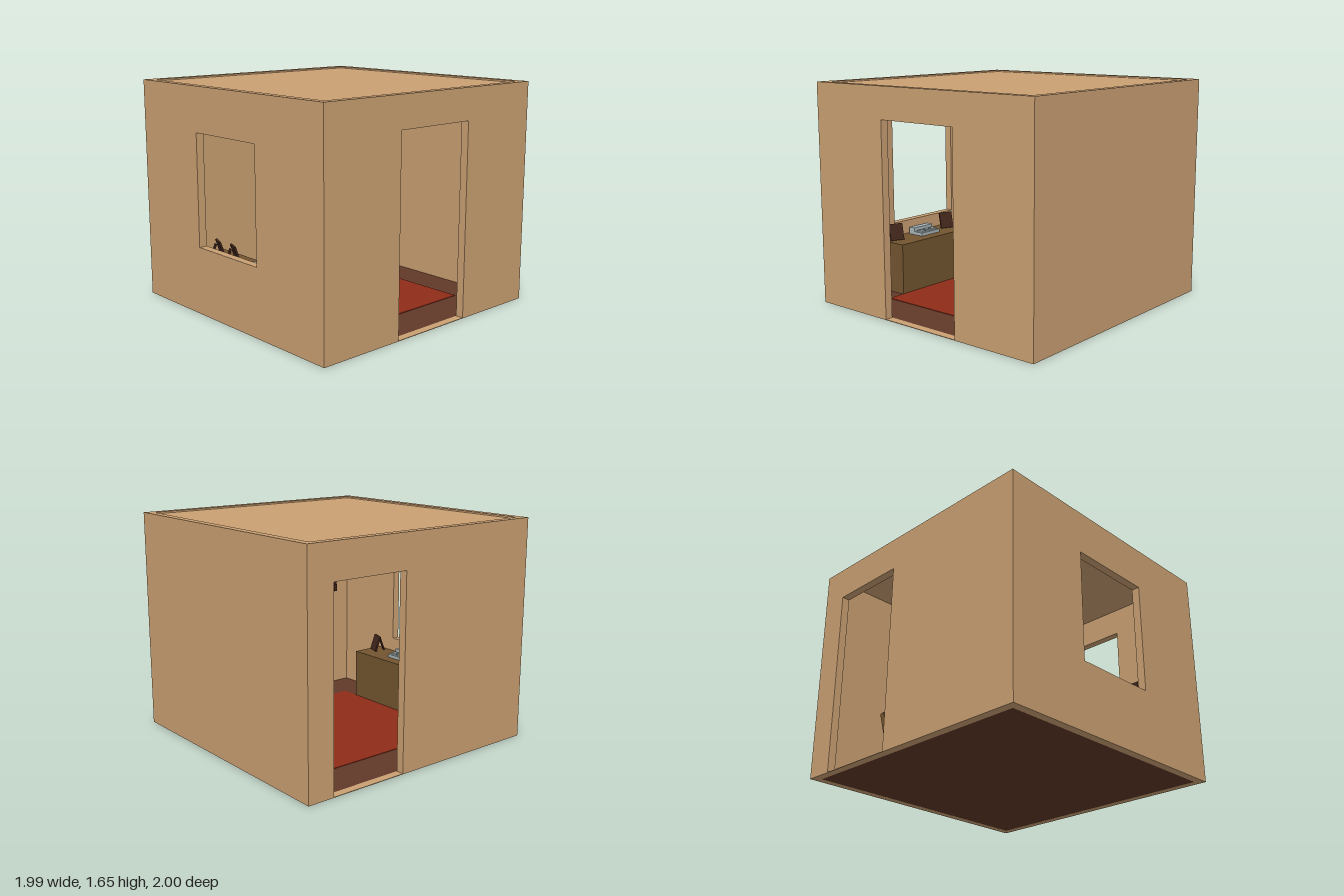
import * as THREE from 'three';

const mat = (color) => new THREE.MeshStandardMaterial({ color, flatShading: true });
const PLASTER = mat(0xcaa072), WOOD = mat(0x735530), FLOOR = mat(0x613828);
const RUG = mat(0x902c18), DARK = mat(0x42261c), GREY = mat(0xa9b6ba);

const H = 1.65, T = 0.06, W = 0.995;

export function createModel() {
  const room = new THREE.Group();
  room.name = 'room';

  function add(parent, name, geometry, material) {
    const mesh = new THREE.Mesh(geometry, material);
    mesh.name = name;
    parent.add(mesh);
    return mesh;
  }
  // Box given by its lower and upper corners
  function box(parent, name, [x0, y0, z0], [x1, y1, z1], material) {
    const mesh = add(parent, name, new THREE.BoxGeometry(x1 - x0, y1 - y0, z1 - z0), material);
    mesh.position.set((x0 + x1) / 2, (y0 + y1) / 2, (z0 + z1) / 2);
    return mesh;
  }
  function group(name, x, y, z) {
    const g = new THREE.Group();
    g.name = name;
    g.position.set(x, y, z);
    room.add(g);
    return g;
  }
  // Wall slab with an optional rectangular opening
  function wall(name, half, opening) {
    const rect = (target, x0, y0, x1, y1) =>
      target.moveTo(x0, y0).lineTo(x1, y0).lineTo(x1, y1).lineTo(x0, y1).closePath();
    const shape = rect(new THREE.Shape(), -half, 0, half, H);
    if (opening) shape.holes.push(rect(new THREE.Path(), ...opening));
    return add(room, name, new THREE.ExtrudeGeometry(shape, { depth: T, bevelEnabled: false }), PLASTER);
  }

  // Walls with two doorways and a window
  wall('frontWall', W, [-0.33, 0.004, 0.33, 1.42]).position.z = 1 - T;
  wall('backWall', W, [0.19, 0.004, 0.79, 1.4]).position.z = -1;
  const right = wall('windowWall', 1 - T, [-0.33, 0.5, 0.33, 1.325]);
  const left = wall('plainWall', 1 - T);
  for (const side of [right, left]) side.rotation.y = -Math.PI / 2;
  right.position.x = -W + T;
  left.position.x = W;

  // Floor, recessed roof and rug
  const inX = W - T, inZ = 1 - T;
  box(room, 'floor', [-inX, 0.001, -inZ], [inX, 0.004, inZ], FLOOR);
  box(room, 'roof', [-inX, H - 0.02, -inZ], [inX, H - 0.012, inZ], PLASTER);
  box(room, 'rug', [-0.67, 0.004, -0.64], [0.67, 0.008, 0.64], RUG);

  // Desk under the window
  box(room, 'desk', [-0.93, 0.004, -0.5], [-0.67, 0.395, 0.5], WOOD);

  // Grey desk machine: low base, sloping keys and raised rear
  const machine = group('deskMachine', -0.83, 0.395, 0.1);
  box(machine, 'machineBase', [-0.07, 0, -0.1], [0.07, 0.025, 0.1], GREY);
  box(machine, 'machineRear', [-0.07, 0.025, -0.1], [-0.015, 0.055, 0.1], GREY);
  for (let i = 0; i < 3; i++) {
    const z = -0.08 + i * 0.06;
    box(machine, 'keyBlock', [0, 0.025, z], [0.055, 0.036, z + 0.04], GREY);
  }

  // Leaning picture frames, each with a strut behind
  for (const z of [-0.14, -0.32, 0.42]) {
    const frame = group('pictureFrame', -0.82, 0.395, z);
    frame.rotation.y = Math.PI / 2 - 0.35;
    const panel = box(frame, 'framePanel', [-0.055, 0, -0.007], [0.055, 0.13, 0.007], DARK);
    panel.position.y = 0.066;
    panel.rotation.x = -0.3;
    const strut = box(frame, 'frameStrut', [-0.015, 0, -0.06], [0.015, 0.11, -0.05], DARK);
    strut.position.y = 0.054;
    strut.rotation.x = 0.35;
  }

  // Chair facing the desk
  const chair = group('chair', 0.64, 0, -0.35);
  for (const x of [-0.13, 0.13])
    for (const z of [-0.125, 0.125])
      box(chair, 'chairLeg', [x - 0.02, 0.004, z - 0.02], [x + 0.02, 0.24, z + 0.02], WOOD);
  box(chair, 'chairSeat', [-0.155, 0.235, -0.15], [0.155, 0.27, 0.15], WOOD);
  const back = new THREE.Group();
  back.name = 'chairBack';
  back.position.set(0.125, 0.255, 0);
  back.rotation.z = -0.3;
  chair.add(back);
  box(back, 'backPanel', [-0.02, 0, -0.14], [0.02, 0.39, 0.14], WOOD);

  // Peg rail on the inside of the front wall
  const rail = group('pegRail', -0.6, 0.87, inZ);
  box(rail, 'railBoard', [-0.2, 0, -0.015], [0.2, 0.05, 0], DARK);
  for (let i = 0; i < 4; i++) {
    const x = -0.165 + i * 0.11;
    box(rail, 'peg', [x - 0.012, -0.03, -0.05], [x + 0.012, 0.03, -0.015], DARK);
  }
  return room;
}
